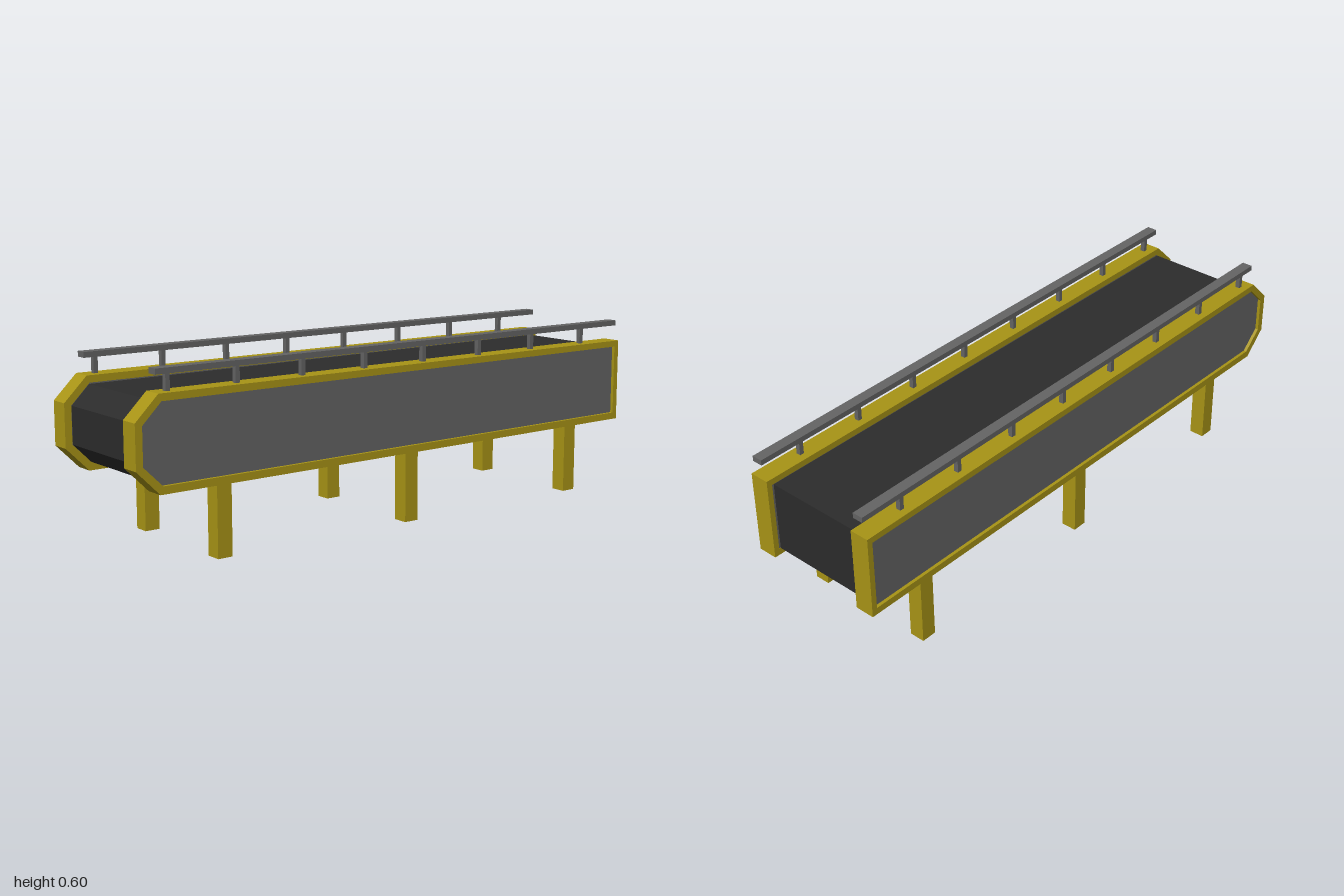
import * as THREE from 'three';

const material = (color) => new THREE.MeshStandardMaterial({ color, flatShading: true });

// Side profile with two chamfered corners at the -x end
const FRAME = [[-1, 0.307], [-0.92, 0.228], [1, 0.235], [1, 0.52], [-0.92, 0.527], [-1, 0.449]];
const PANEL = [[-0.976, 0.317], [-0.91, 0.253], [0.981, 0.258], [0.981, 0.499], [-0.91, 0.504], [-0.976, 0.439]];
const BELT = [[-0.975, 0.317], [-0.913, 0.255], [0.975, 0.257], [0.975, 0.498], [-0.913, 0.5], [-0.975, 0.439]];
const RAIL = [[-0.92, 0.58], [1, 0.573], [1, 0.591], [-0.92, 0.598]];

const toPoints = (list) => list.map(([x, y]) => new THREE.Vector2(x, y));

// Extrude a side profile between two depths
function slab(name, outline, z0, z1, mat, hole) {
  const shape = new THREE.Shape(toPoints(outline));
  if (hole) shape.holes.push(new THREE.Path(toPoints(hole)));
  const geometry = new THREE.ExtrudeGeometry(shape, { depth: z1 - z0, bevelEnabled: false });
  geometry.translate(0, 0, z0);
  const mesh = new THREE.Mesh(geometry, mat);
  mesh.name = name;
  return mesh;
}

// Upright box given its width, depth and vertical span
function upright(name, x, z, width, depth, y0, y1, mat) {
  const mesh = new THREE.Mesh(new THREE.BoxGeometry(width, y1 - y0, depth), mat);
  mesh.position.set(x, (y0 + y1) / 2, z);
  mesh.name = name;
  return mesh;
}

export function createModel() {
  const yellow = material(0xa89416);
  const grey = material(0x646464);
  const black = material(0x2c2c2c);

  const model = new THREE.Group();
  model.name = 'conveyor';
  model.add(slab('belt', BELT, -0.178, 0.178, black));

  // Both sides share one layout, mirrored in z
  for (const side of [1, -1]) {
    const group = new THREE.Group();
    group.name = side > 0 ? 'frontSide' : 'backSide';
    const addSlab = (name, outline, a, b, mat, hole) =>
      group.add(slab(name, outline, Math.min(a * side, b * side), Math.max(a * side, b * side), mat, hole));

    // Frame border around a slightly recessed panel
    addSlab('sideFrame', FRAME, 0.178, 0.245, yellow, PANEL);
    addSlab('sidePanel', PANEL, 0.179, 0.234, grey);

    // Guard rail on short posts
    addSlab('guardRail', RAIL, 0.193, 0.23, grey);
    for (let i = 0; i < 8; i++) {
      group.add(upright('railPost', -0.873 + i * 0.244, side * 0.212, 0.015, 0.016, 0.515, 0.58, grey));
    }

    // Legs
    for (let i = 0; i < 3; i++) {
      group.add(upright('leg', -0.695 + i * 0.732, side * 0.212, 0.052, 0.053, 0, 0.243, yellow));
    }
    model.add(group);
  }
  return model;
}
